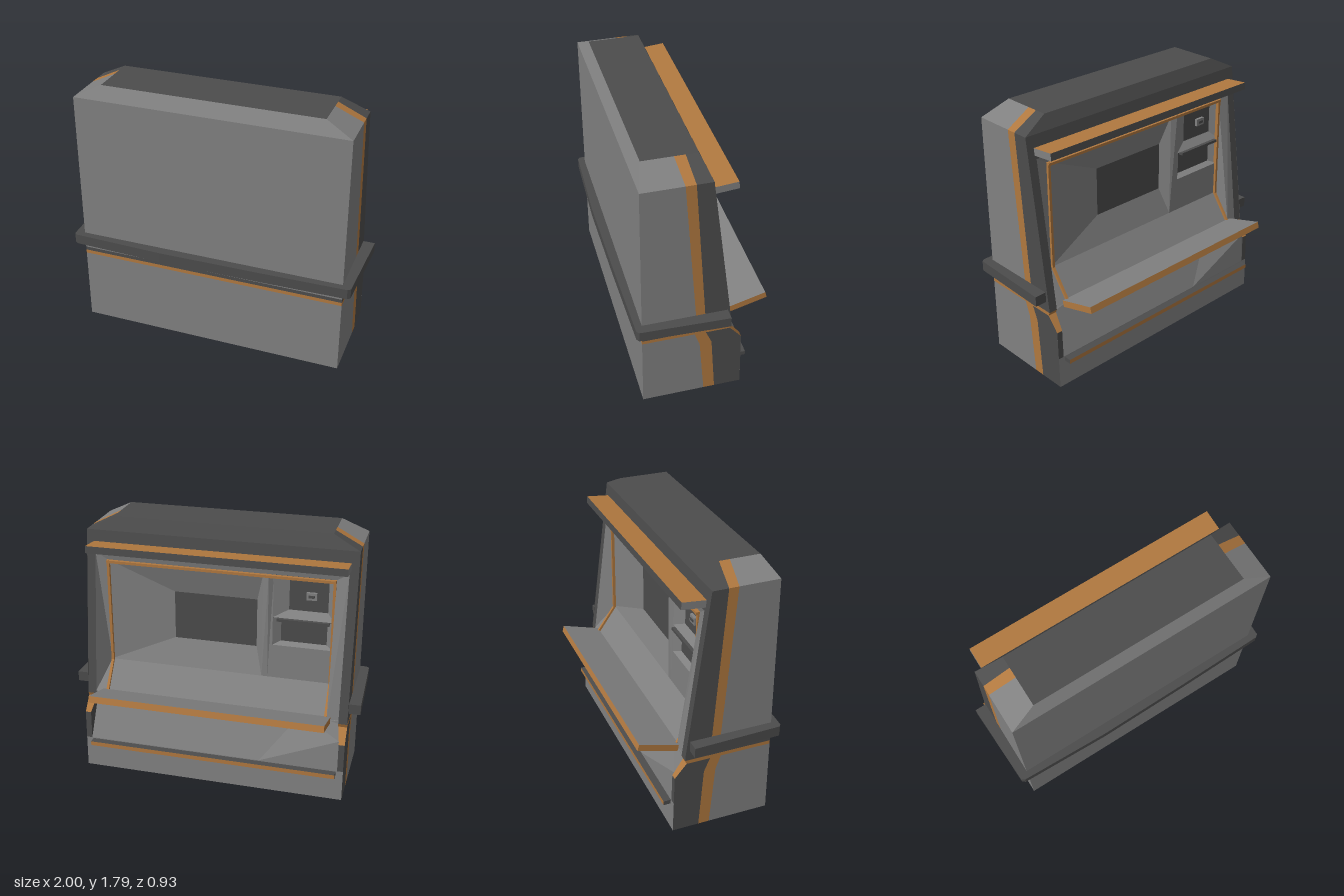
import * as THREE from 'three';

const paint = (color) => new THREE.MeshStandardMaterial({ color, flatShading: true, side: THREE.DoubleSide });

export function createModel() {
  const model = new THREE.Group();
  const grey = paint(0x808080), dark = paint(0x4c4c4c), orange = paint(0xb0783f);

  // Flat-shaded mesh from polygons [[x,y,z],...]; mirror adds the copy across x = 0
  function panels(name, mat, polys, mirror = false) {
    const pos = [];
    const fan = (p) => {
      for (let i = 1; i < p.length - 1; i++) pos.push(...p[0], ...p[i], ...p[i + 1]);
    };
    for (const p of polys) {
      fan(p);
      if (mirror) fan(p.map(([x, y, z]) => [-x, y, z]).reverse());
    }
    const geo = new THREE.BufferGeometry();
    geo.setAttribute('position', new THREE.Float32BufferAttribute(pos, 3));
    geo.computeVertexNormals();
    return add(name, geo, mat);
  }
  function add(name, geo, mat) {
    const mesh = new THREE.Mesh(geo, mat);
    mesh.name = name;
    model.add(mesh);
    return mesh;
  }
  function box(name, mat, size, at, tilt = 0) {
    const mesh = add(name, new THREE.BoxGeometry(...size), mat);
    mesh.position.set(...at);
    mesh.rotation.x = tilt;
    return mesh;
  }
  // Quad spanning the full width at half-widths w0, w1
  const span = (w0, y0, z0, w1, y1, z1) => [[w0, y0, z0], [-w0, y0, z0], [-w1, y1, z1], [w1, y1, z1]];
  // Polygon on the side wall from (z, y) points
  const side = (...zy) => zy.map(([z, y]) => [W, y, z]);

  const W = 0.92, T = 0.74, IN = 0.86, LIP = 0.78, ZI = -0.05;
  const slant = (y) => -0.04 - 0.13 * (1.7 - y);

  // Upper casing: stations of z at the base, shoulder and roof edge
  const stations = [[0.4, 0.4, 0.35], [0.04, 0.13, 0.15], [-0.02, 0.065, 0.08], [-0.19, -0.04, 0]];
  ['casingSide', 'sideStripe', 'frameSide'].forEach((name, i) => {
    const a = stations[i], b = stations[i + 1];
    panels(name, [grey, orange, dark][i], [
      side([a[0], 0.565], [b[0], 0.565], [b[1], 1.7], [a[1], 1.7]),
      [[W, 1.7, a[1]], [W, 1.7, b[1]], [T, 1.79, b[2]], [T, 1.79, a[2]]],
    ], true);
  });
  panels('roof', dark, [span(T, 1.79, 0.35, T, 1.79, 0), span(T, 1.79, 0, W, 1.7, -0.04)]);
  panels('casingPanel', grey, [
    span(W, 0, 0.4, W, 0.515, 0.4),
    span(W, 0.565, 0.4, W, 1.7, 0.4),
    span(W, 1.7, 0.4, T, 1.79, 0.35),
  ]);

  // Horizontal trim lines
  panels('trimLine', orange, [span(W, 0.515, 0.4, W, 0.54, 0.4)]);
  panels('trimLineSide', orange, [side([0.4, 0.515], [-0.18, 0.515], [-0.19, 0.54], [0.4, 0.54])], true);
  panels('shadowLine', dark, [span(W, 0.54, 0.4, W, 0.565, 0.4)]);
  panels('shadowLineSide', dark, [side([0.4, 0.54], [-0.19, 0.54], [-0.19, 0.565], [0.4, 0.565])], true);

  // Lower casing: rows of z at each height, split into three coloured strips
  const rows = [[0, 0.4, -0.015, -0.09, -0.27], [0.42, 0.4, 0.02, -0.06, -0.26], [0.515, 0.4, 0.055, -0.02, -0.18]];
  ['baseSide', 'baseStripe', 'baseFrame'].forEach((name, i) => {
    const polys = [];
    for (let r = 0; r < 2; r++) {
      const a = rows[r], b = rows[r + 1];
      polys.push(side([a[i + 1], a[0]], [a[i + 2], a[0]], [b[i + 2], b[0]], [b[i + 1], b[0]]));
    }
    const mat = [grey, orange, dark][i];
    panels(name, mat, polys, true);
    panels(name + 'Underside', mat, [span(W, 0, rows[0][i + 1], W, 0, rows[0][i + 2])]);
  });

  // Service-side frame: header, cheeks and lower cheeks
  panels('header', dark, [span(W, 1.7, slant(1.7), W, 1.55, slant(1.55))]);
  panels('cheek', dark, [
    [[W, 1.55, slant(1.55)], [IN, 1.55, slant(1.55)], [IN, 0.54, -0.19], [W, 0.54, -0.19]],
  ], true);
  panels('cheekBevel', orange, [
    [[W, 0.54, -0.19], [IN, 0.54, -0.19], [IN, 0.515, -0.18], [W, 0.515, -0.18]],
    [[W, 0.515, -0.18], [IN, 0.515, -0.18], [0.88, 0.42, -0.26], [W, 0.42, -0.26]],
  ], true);
  panels('lowerCheek', dark, [
    [[W, 0.42, -0.26], [0.88, 0.42, -0.26], [0.88, 0.22, -0.265], [W, 0.22, -0.265]],
    [[0.88, 0.22, -0.265], [0.88, 0.42, -0.26], [IN, 0.515, -0.18], [IN, 0.55, -0.14]],
  ], true);

  // Knee panel sloping back under the tray, with a raised facet at one end
  panels('apron', grey, [span(W, 0, -0.27, W, 0.22, -0.265)]);
  panels('kneePanel', grey, [
    span(0.88, 0.22, -0.265, IN, 0.55, -0.14),
    span(IN, 0.55, -0.14, IN, 0.56, -0.19),
    [[-0.34, 0.22, -0.265], [-0.88, 0.22, -0.265], [-0.88, 0.44, -0.25]],
    [[-0.34, 0.22, -0.265], [-0.88, 0.44, -0.25], [-0.6, 0.55, -0.14]],
  ]);

  // Bezel sloping from the frame into the recess, and the counter
  panels('bezel', grey, [
    [[LIP, 0.76, ZI], [LIP, 1.5, ZI], [IN, 1.55, slant(1.55)], [IN, 0.54, -0.19], [LIP, 0.56, -0.19]],
  ], true);
  panels('bezelTop', grey, [span(IN, 1.55, slant(1.55), LIP, 1.5, ZI)]);
  panels('counter', grey, [span(LIP, 0.76, ZI, IN, 0.56, -0.19)]);

  // Orange liner around the opening
  box('linerTop', orange, [2 * LIP, 0.018, 0.03], [0, 1.49, -0.06]);
  for (const s of [1, -1]) {
    box('linerSide', orange, [0.018, 0.74, 0.025], [s * 0.772, 1.13, -0.055]);
    box('linerFoot', orange, [0.018, 0.245, 0.025], [s * 0.772, 0.665, -0.12], Math.atan2(0.14, 0.2));
  }

  // Recess with sloped walls; rectangles are [x0, x1, y0, y1]
  function recess(name, o, i, zo, zi, wallMat, backMat) {
    const ring = ([x0, x1, y0, y1], z) => [[x0, y0, z], [x0, y1, z], [x1, y1, z], [x1, y0, z]];
    const a = ring(o, zo), b = ring(i, zi);
    panels(name + 'Surround', wallMat, a.map((p, k) => [p, a[(k + 1) % 4], b[(k + 1) % 4], b[k]]));
    panels(name, backMat, [b]);
  }
  recess('screen', [-0.3, LIP, 0.76, 1.5], [-0.25, 0.325, 0.95, 1.29], ZI, 0.01, grey, dark);
  recess('cardPanel', [-LIP, -0.37, 1.2, 1.5], [-0.73, -0.47, 1.25, 1.46], ZI, -0.01, grey, dark);
  recess('keypadPocket', [-LIP, -0.37, 1, 1.2], [-0.73, -0.42, 1.02, 1.18], ZI, -0.01, grey, dark);
  panels('divider', grey, [
    [[-0.3, 0.76, ZI], [-0.3, 1.5, ZI], [-0.34, 1.5, -0.07], [-0.34, 0.76, ZI]],
    [[-0.34, 0.76, ZI], [-0.34, 1.5, -0.07], [-0.37, 1.5, ZI], [-0.37, 0.76, ZI]],
  ]);
  panels('unitPlate', grey, [[[-LIP, 0.76, ZI], [-LIP, 1, ZI], [-0.37, 1, ZI], [-0.37, 0.76, ZI]]]);
  box('keypadLedge', dark, [0.35, 0.018, 0.035], [-0.575, 1.19, -0.055]);
  box('cardReader', grey, [0.07, 0.05, 0.02], [-0.62, 1.36, -0.02]);
  box('cardSlot', dark, [0.04, 0.018, 0.006], [-0.62, 1.36, -0.032]);

  // Visor, tray and bumper rail
  box('visor', [grey, grey, orange, dark, dark, dark], [1.74, 0.048, 0.16], [0, 1.605, -0.13], 0.09);
  box('tray', [orange, orange, grey, dark, orange, orange], [1.61, 0.045, 0.28], [0, 0.597, -0.324], 0.275);
  box('bumperRail', [dark, dark, dark, dark, dark, orange], [1.74, 0.03, 0.05], [0, 0.2, -0.29]);

  // Belt wrapping three sides of the casing
  const outline = [[1, -0.16], [0.98, 0.43], [0.96, 0.445], [0.33, 0.458], [-0.33, 0.465], [-0.96, 0.445], [-0.98, 0.43], [-1, -0.16],
    [-W, -0.16], [-W, 0.4], [W, 0.4], [W, -0.16]];
  const beltGeo = new THREE.ExtrudeGeometry(
    new THREE.Shape(outline.map(([x, z]) => new THREE.Vector2(x, -z))), { depth: 0.07, bevelEnabled: false });
  beltGeo.rotateX(-Math.PI / 2);
  add('belt', beltGeo, dark).position.y = 0.61;

  return model;
}
